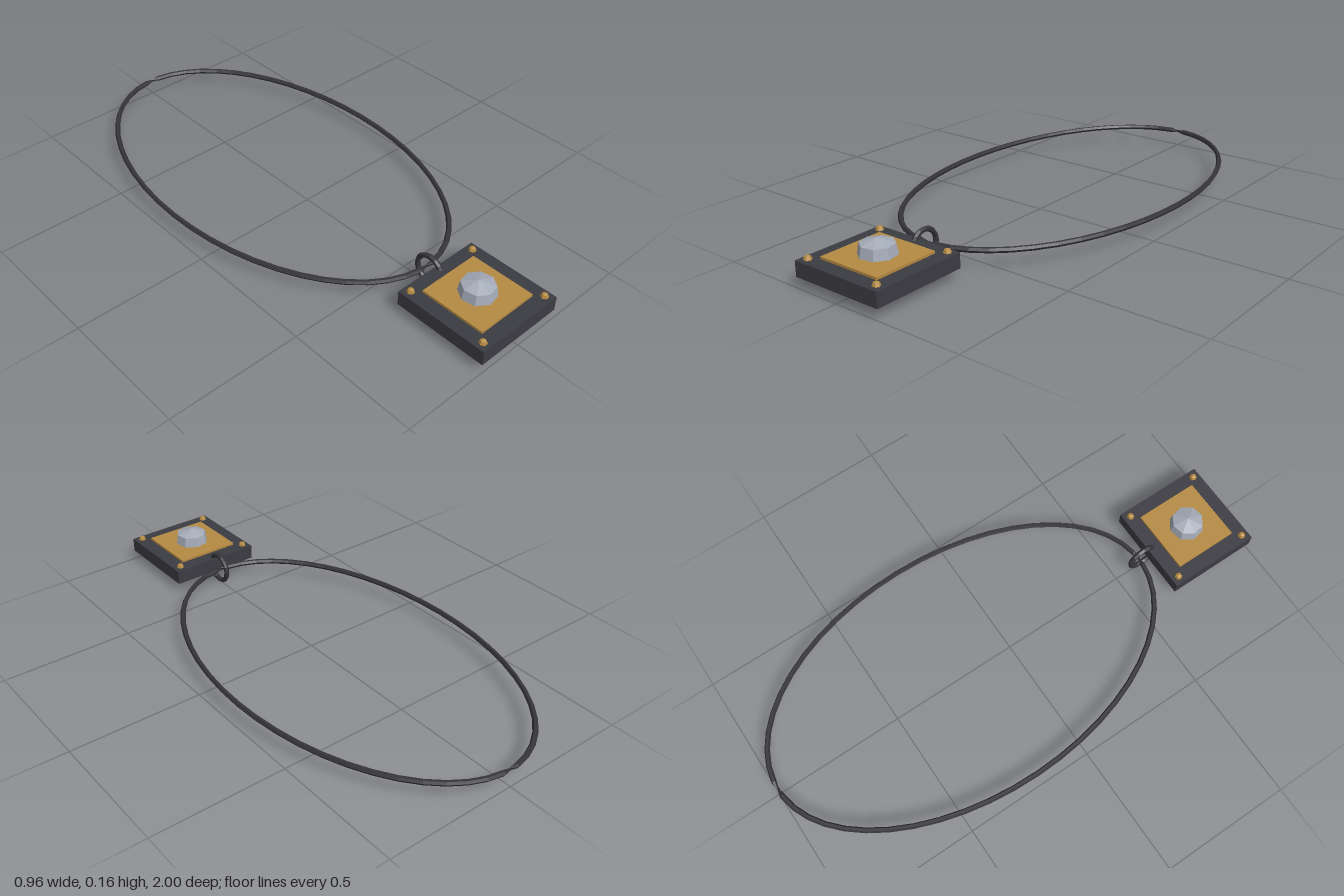
import * as THREE from 'three';

const paint = (color) => new THREE.MeshStandardMaterial({ color, flatShading: true });

// Oval cord with a six-sided section that makes a half twist at each end of the oval
function cordGeometry(rx, rz, radius, segments, sides) {
  const positions = [];
  const index = [];
  for (let i = 0; i < segments; i++) {
    const a = (i / segments) * Math.PI * 2;
    const outward = new THREE.Vector3(Math.cos(a) / rx, 0, Math.sin(a) / rz).normalize();
    const flip = Math.cos(a) < 0 ? -1 : 1;
    for (let j = 0; j < sides; j++) {
      const b = (j / sides) * Math.PI * 2;
      const out = Math.cos(b) * radius * flip;
      positions.push(
        rx * Math.cos(a) + outward.x * out,
        Math.sin(b) * radius * flip,
        rz * Math.sin(a) + outward.z * out
      );
      const k = (j + 1) % sides;
      const n = (i + 1) % segments;
      const p = i * sides + j, q = i * sides + k, r = n * sides + j, s = n * sides + k;
      index.push(p, q, r, q, s, r);
    }
  }
  const geometry = new THREE.BufferGeometry();
  geometry.setAttribute('position', new THREE.Float32BufferAttribute(positions, 3));
  geometry.setIndex(index);
  geometry.computeVertexNormals();
  return geometry;
}

export function createModel() {
  const model = new THREE.Group();
  model.name = 'necklace';
  const dark = paint(0x3b3b42);
  const cordPaint = paint(0x34343a);
  const gold = paint(0xb58a42);
  const stone = paint(0xa4abb8);

  const add = (name, geometry, material, x, y, z) => {
    const mesh = new THREE.Mesh(geometry, material);
    mesh.name = name;
    mesh.position.set(x, y, z);
    model.add(mesh);
    return mesh;
  };

  // Cord and the link that carries the pendant
  add('cord', cordGeometry(0.47, 0.795, 0.01, 50, 6), cordPaint, 0, 0.065, -0.197);
  const link = add('link', new THREE.TorusGeometry(0.054, 0.01, 6, 16), cordPaint, 0, 0.064, 0.614);
  link.rotation.y = Math.PI / 2;

  // Square pendant with an inlaid plate
  const cz = 0.82;
  add('pendantBase', new THREE.BoxGeometry(0.36, 0.056, 0.36), dark, 0, 0.066, cz);
  add('pendantPlate', new THREE.BoxGeometry(0.25, 0.02, 0.25), gold, 0, 0.093, cz);

  // Eight-sided gem: tapered body and a low pointed crown
  add('gemBody', new THREE.CylinderGeometry(0.06, 0.067, 0.04, 8, 1, false, -0.2), stone, 0, 0.121, cz);
  add('gemCrown', new THREE.ConeGeometry(0.06, 0.018, 8, 1, true, -0.2), stone, 0, 0.15, cz);

  // Corner studs
  const studGeometry = new THREE.SphereGeometry(0.015, 6, 4);
  for (const sx of [-1, 1]) {
    for (const sz of [-1, 1]) {
      add('cornerStud', studGeometry, gold, sx * 0.152, 0.096, cz + sz * 0.152);
    }
  }
  return model;
}
